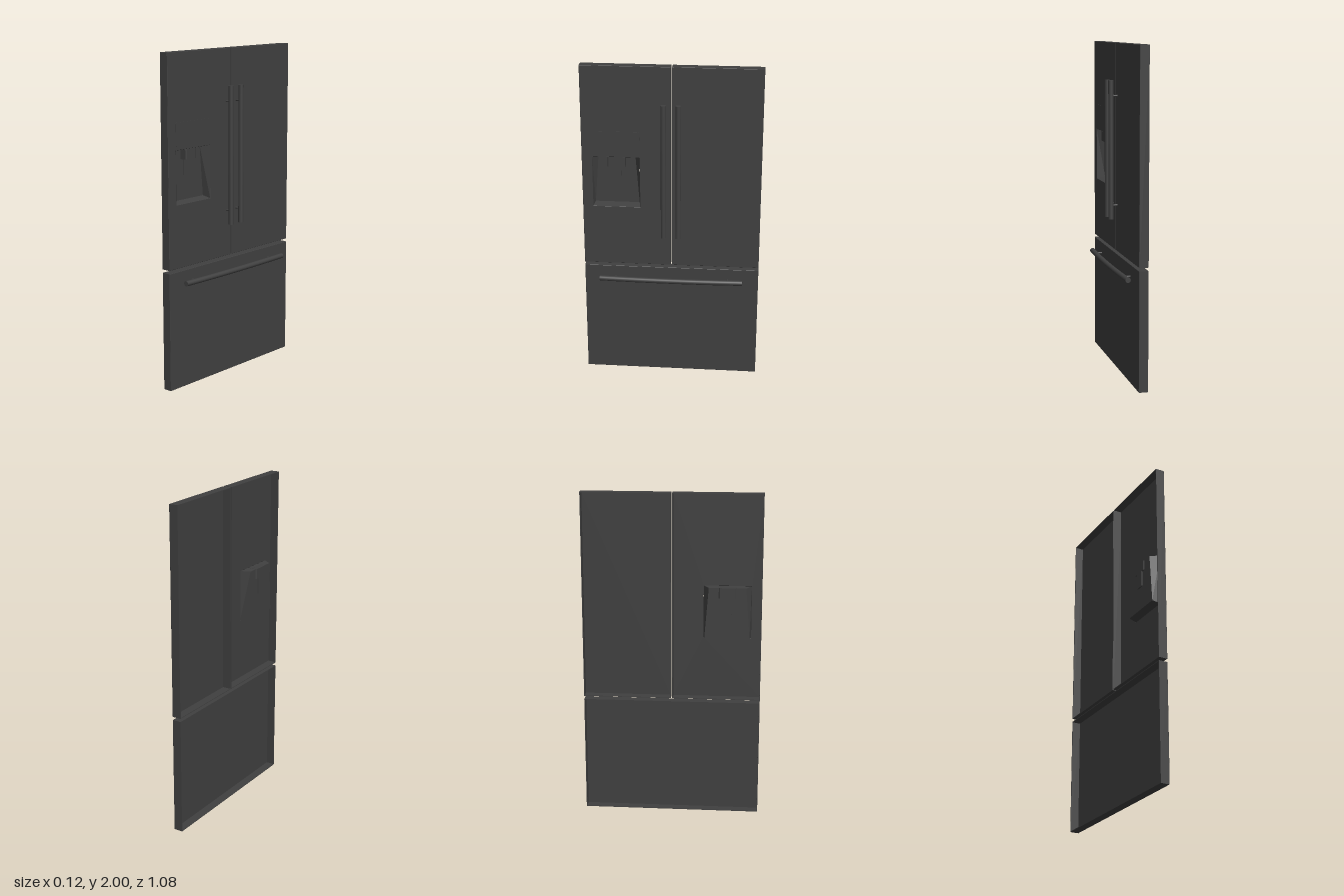
import * as THREE from 'three';

const BACK = -0.06, FRONT = -0.004, SKIN = 0.004;
const material = new THREE.MeshStandardMaterial({ color: 0x404040, side: THREE.DoubleSide });

function add(parent, name, geometry, x = 0, y = 0, z = 0) {
  const mesh = new THREE.Mesh(geometry, material);
  mesh.name = name;
  mesh.position.set(x, y, z);
  parent.add(mesh);
  return mesh;
}

function rectangle(x0, x1, y0, y1, Type = THREE.Shape) {
  return new Type([[x0, y0], [x1, y0], [x1, y1], [x0, y1]].map(p => new THREE.Vector2(...p)));
}

// Hollow panel: a front skin with a fine bevel and a thin rim, open at the back
function shellPanel(parent, name, [x0, x1, y0, y1], opening) {
  const panel = new THREE.Group();
  panel.name = name;
  parent.add(panel);
  const face = rectangle(x0, x1, y0, y1);
  if (opening) face.holes.push(rectangle(...opening, THREE.Path));
  const bevel = 0.0015;
  add(panel, name + 'Face', new THREE.ExtrudeGeometry(face, {
    depth: SKIN - 2 * bevel, bevelThickness: bevel, bevelSize: bevel, bevelOffset: -bevel, bevelSegments: 1,
  }), 0, 0, FRONT - SKIN + bevel);
  const rim = rectangle(x0, x1, y0, y1);
  rim.holes.push(rectangle(x0 + SKIN, x1 - SKIN, y0 + SKIN, y1 - SKIN, THREE.Path));
  add(panel, name + 'Rim', new THREE.ExtrudeGeometry(rim, {
    depth: FRONT - SKIN / 2 - BACK, bevelEnabled: false,
  }), 0, 0, BACK);
  return panel;
}

// Short round post from the panel face to a handle
function post(parent, x, y, reach) {
  const geometry = new THREE.CylinderGeometry(0.006, 0.006, reach - FRONT, 12).rotateX(Math.PI / 2);
  add(parent, 'handlePost', geometry, x, y, (reach + FRONT) / 2);
}

// Funnel-shaped recess: four sloping walls and a back wall
function recessGeometry([x0, x1, y0, y1]) {
  const front = [[x0, y0, FRONT], [x1, y0, FRONT], [x1, y1, FRONT], [x0, y1, FRONT]];
  const back = [[x0 + 0.008, y0 + 0.012, -0.056], [x1 - 0.008, y0 + 0.012, -0.056],
    [x1 - 0.032, y1 - 0.002, -0.058], [x0 + 0.032, y1 - 0.002, -0.058]];
  const points = [];
  const quad = (a, b, c, d) => points.push(...a, ...b, ...c, ...a, ...c, ...d);
  for (let i = 0; i < 4; i++) {
    const j = (i + 1) % 4;
    quad(front[i], front[j], back[j], back[i]);
  }
  quad(...back);
  const geometry = new THREE.BufferGeometry();
  geometry.setAttribute('position', new THREE.Float32BufferAttribute(points, 3));
  geometry.computeVertexNormals();
  return geometry;
}

function addDispenser(parent, opening) {
  const group = new THREE.Group();
  group.name = 'dispenser';
  parent.add(group);
  add(group, 'recess', recessGeometry(opening));
  const centre = (opening[0] + opening[1]) / 2;

  // Control plate with small rounded corners
  const w = 0.143, h = 0.07, r = 0.008;
  const plate = new THREE.Shape();
  plate.absarc(w - r, h - r, r, 0, Math.PI / 2);
  plate.absarc(r - w, h - r, r, Math.PI / 2, Math.PI);
  plate.absarc(r - w, r - h, r, Math.PI, Math.PI * 1.5);
  plate.absarc(w - r, r - h, r, Math.PI * 1.5, Math.PI * 2);
  add(group, 'controlPlate', new THREE.ExtrudeGeometry(plate, {
    depth: 0.003, bevelEnabled: false, curveSegments: 4,
  }), centre, 1.53, FRONT - 0.001);

  // Nozzle housing drawn in plan, reaching through the back wall
  const plan = new THREE.Shape([[-0.055, 0.015], [-0.045, 0.01], [0.045, 0.01], [0.055, 0.015],
    [0.055, 0.055], [0.045, 0.064], [-0.045, 0.064], [-0.055, 0.055]].map(p => new THREE.Vector2(...p)));
  const housing = new THREE.ExtrudeGeometry(plan, { depth: 0.064, bevelEnabled: false });
  add(group, 'nozzleHousing', housing.rotateX(-Math.PI / 2), centre, 1.375, 0);
  add(group, 'spout', new THREE.BoxGeometry(0.03, 0.064, 0.03), centre + 0.04, 1.408, -0.022);
  add(group, 'paddle', new THREE.BoxGeometry(0.055, 0.1, 0.011), centre, 1.327, -0.0585);
}

export function createModel() {
  const model = new THREE.Group();
  model.name = 'refrigeratorFront';
  // Built facing +z, then turned to face +x
  const body = new THREE.Group();
  body.name = 'doorsAndDrawer';
  body.rotation.y = Math.PI / 2;
  model.add(body);

  const opening = [-0.477, -0.19, 1.12, 1.44];
  const dispenserDoor = shellPanel(body, 'dispenserDoor', [-0.54, -0.004, 0.74, 2], opening);
  const plainDoor = shellPanel(body, 'plainDoor', [0.004, 0.54, 0.74, 2]);
  const drawer = shellPanel(body, 'drawer', [-0.54, 0.54, 0, 0.72]);
  addDispenser(dispenserDoor, opening);

  // Upright door handles
  for (const [door, side] of [[dispenserDoor, -1], [plainDoor, 1]]) {
    const x = side * 0.0445;
    add(door, 'doorHandle', new THREE.CylinderGeometry(0.016, 0.016, 0.84, 24), x, 1.36, 0.035);
    for (const y of [1.025, 1.687]) post(door, x, y, 0.03);
  }

  // Bowed drawer handle: a round bar bent forward in the middle
  const bar = new THREE.CylinderGeometry(0.016, 0.016, 0.886, 24, 24).rotateZ(Math.PI / 2);
  const position = bar.attributes.position;
  for (let i = 0; i < position.count; i++) {
    const t = position.getX(i) / 0.443;
    position.setZ(i, position.getZ(i) + 0.01 * (1 - t * t));
  }
  bar.computeVertexNormals();
  add(drawer, 'drawerHandle', bar, 0, 0.65, 0.035);
  for (const x of [-0.348, 0.348]) post(drawer, x, 0.65, 0.032);

  return model;
}
